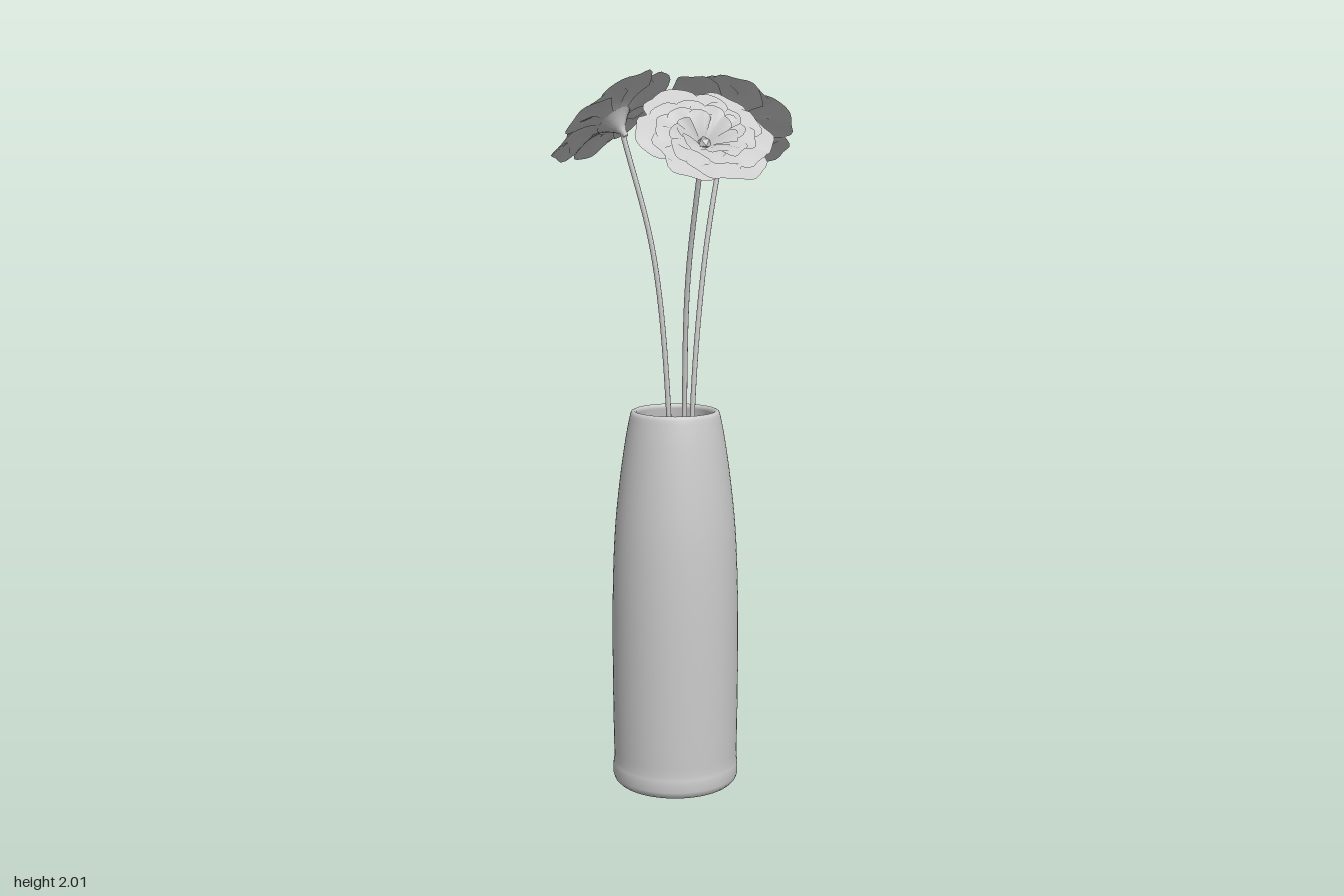
import * as THREE from 'three';

const grey = new THREE.MeshStandardMaterial({ color: 0xcccccc });
const thin = new THREE.MeshStandardMaterial({ color: 0xcccccc, side: THREE.DoubleSide });

function add(parent, name, geometry, material = grey) {
  const mesh = new THREE.Mesh(geometry, material);
  mesh.name = name;
  parent.add(mesh);
  return mesh;
}

// One broad petal lying on a shallow funnel, rounded at the tip
function petalGeometry(radius, lift, wave) {
  const geo = new THREE.PlaneGeometry(2, 1, 12, 8);
  const p = geo.attributes.position;
  for (let i = 0; i < p.count; i++) {
    const t = p.getX(i), s = p.getY(i) + 0.5;
    const ruffle = 0.025 * Math.cos(t * 8 + wave);
    const r = 0.006 + s * radius * (1 - 0.27 * Math.abs(t) ** 3 + ruffle * s);
    const a = t * 0.64;
    const dip = -0.045 * Math.max(0, 1 - r / 0.11) ** 2;
    const y = dip + lift * s + 0.005 * t * s + 0.004 * s * s * Math.sin(t * 5 + wave);
    p.setXYZ(i, r * Math.cos(a), y, r * Math.sin(a));
  }
  geo.computeVertexNormals();
  return geo;
}

// Five rings of petals, a faceted centre and a calyx; local +y is the facing direction
function makeFlower(seed) {
  const flower = new THREE.Group();
  flower.name = 'flower';
  [0.182, 0.155, 0.128, 0.102, 0.078].forEach((radius, layer) => {
    for (let k = 0; k < 6; k++) {
      const wave = seed * 2.1 + layer * 1.7 + k * 2.4;
      const size = radius * (1 + 0.04 * Math.sin(wave * 1.9));
      const petal = add(flower, 'petal', petalGeometry(size, -0.006 + layer * 0.005, wave), thin);
      petal.rotation.y = k * Math.PI / 3 + layer * 0.45;
    }
  });
  const heart = new THREE.IcosahedronGeometry(0.022, 0);
  heart.computeVertexNormals();
  add(flower, 'flowerCentre', heart).position.y = -0.036;
  const calyx = [[0.007, -0.075], [0.011, -0.058], [0.02, -0.045], [0.04, -0.026], [0.055, -0.016]];
  add(flower, 'calyx', new THREE.LatheGeometry(calyx.map(([x, y]) => new THREE.Vector2(x, y)), 16), thin);
  return flower;
}

function makeVase() {
  const v = (x, y) => new THREE.Vector2(x, y);
  // Outer wall from the foot up to the shoulder
  const body = new THREE.SplineCurve([
    v(0.177, 0.066), v(0.179, 0.2), v(0.18, 0.4), v(0.178, 0.58), v(0.171, 0.74),
    v(0.157, 0.88), v(0.14, 1.0), v(0.126, 1.072),
  ]).getPoints(28);
  const profile = [
    v(0, 0.004), v(0.155, 0.004), v(0.157, 0), v(0.168, 0.002), v(0.176, 0.01), v(0.18, 0.022), v(0.18, 0.045),
    v(0.179, 0.057), ...body,
    // Rounded lip, then the inner wall and floor
    v(0.123, 1.08), v(0.116, 1.083), v(0.109, 1.08), v(0.106, 1.07),
    v(0.122, 1.0), v(0.14, 0.88), v(0.154, 0.74), v(0.162, 0.58), v(0.164, 0.4),
    v(0.162, 0.07), v(0.15, 0.04), v(0, 0.035),
  ];
  return new THREE.LatheGeometry(profile, 64);
}

export function createModel() {
  const model = new THREE.Group();
  model.name = 'vaseWithFlowers';
  add(model, 'vase', makeVase()).position.set(-0.01, 0, 0.03);

  const blooms = [
    { base: [-0.015, 0.05], mid: [-0.062, 1.52, 0.06], head: [-0.183, 1.893, 0.08], yaw: -Math.PI / 2 },
    { base: [0.02, -0.01], mid: [0.03, 1.5, -0.072], head: [0.045, 1.893, -0.198], yaw: Math.PI },
    { base: [0.018, 0.03], mid: [0.048, 1.45, 0.065], head: [0.147, 1.842, 0.15], yaw: Math.PI / 4 },
  ];
  blooms.forEach(({ base, mid, head, yaw }, i) => {
    const flower = makeFlower(i + 1);
    flower.position.set(...head);
    flower.rotation.set(0.71, yaw, 0, 'YXZ');
    model.add(flower);

    // Stem rises straight inside the vase and bends out into the calyx
    const top = new THREE.Vector3(0, -0.055, 0).applyEuler(flower.rotation).add(flower.position);
    const path = new THREE.CatmullRomCurve3([
      new THREE.Vector3(base[0], 0.04, base[1]),
      new THREE.Vector3(base[0], 0.6, base[1]),
      new THREE.Vector3(base[0] + (mid[0] - base[0]) * 0.12, 1.1, base[1] + (mid[2] - base[1]) * 0.12),
      new THREE.Vector3(...mid),
      top,
    ]);
    add(model, 'stem', new THREE.TubeGeometry(path, 40, 0.0075, 8), thin);
  });
  return model;
}
